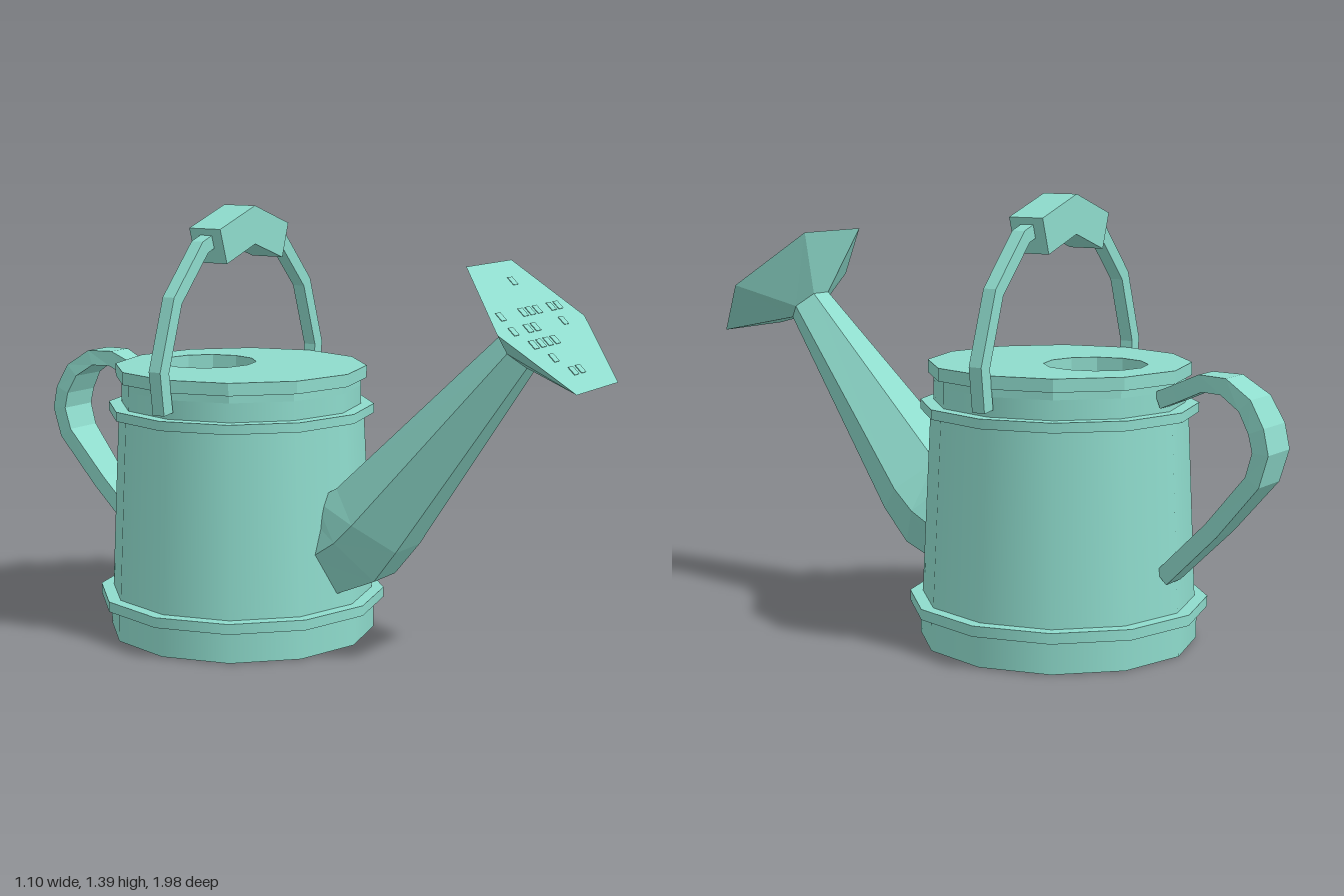
import * as THREE from 'three';

const SIDES = 12;

// Skin over rings of points (counter-clockwise about the travel direction), closed at both ends.
function loft(rings) {
  const n = rings[0].length, pos = [];
  const tri = (a, b, c) => pos.push(...a, ...b, ...c);
  for (let i = 0; i < rings.length - 1; i++) {
    const a = rings[i], b = rings[i + 1];
    for (let j = 0; j < n; j++) {
      const k = (j + 1) % n;
      tri(a[j], a[k], b[k]);
      tri(a[j], b[k], b[j]);
    }
  }
  const first = rings[0], last = rings[rings.length - 1];
  for (let j = 1; j < n - 1; j++) {
    tri(first[0], first[j + 1], first[j]);
    tri(last[0], last[j], last[j + 1]);
  }
  const g = new THREE.BufferGeometry();
  g.setAttribute('position', new THREE.Float32BufferAttribute(pos, 3));
  g.computeVertexNormals();
  return g;
}

// Rectangular strap along a path of [x, y, halfWidth] in the XY plane.
function strap(path, thickness) {
  const h = thickness / 2;
  return loft(path.map(([x, y, w], i) => {
    const a = path[Math.max(i - 1, 0)], b = path[Math.min(i + 1, path.length - 1)];
    const len = Math.hypot(b[0] - a[0], b[1] - a[1]);
    const nx = -(b[1] - a[1]) / len * h, ny = (b[0] - a[0]) / len * h;
    return [[x + nx, y + ny, w], [x - nx, y - ny, w], [x - nx, y - ny, -w], [x + nx, y + ny, -w]];
  }));
}

// Six-sided ring, mirrored in x; each corner pair is [z, y, halfWidth].
function hexRing([side, top, bottom]) {
  const p = ([z, y, w], s) => [s * w, y, z];
  return [p(side, 1), p(top, 1), p(top, -1), p(side, -1), p(bottom, -1), p(bottom, 1)];
}

function polygon(Target, radius, cy = 0) {
  const pts = [];
  for (let i = 0; i < SIDES; i++) {
    const a = i / SIDES * Math.PI * 2;
    pts.push(new THREE.Vector2(Math.cos(a) * radius, cy + Math.sin(a) * radius));
  }
  return new Target(pts);
}

export function createModel() {
  const model = new THREE.Group();
  const can = new THREE.Group();
  can.name = 'wateringCan';
  can.position.set(-0.09, 0, -0.24);
  can.rotation.y = THREE.MathUtils.degToRad(20);
  model.add(can);

  const paint = new THREE.MeshStandardMaterial({ color: 0x8edbcc });
  paint.name = 'mint enamel';

  const add = (name, geometry, parent = can) => {
    const m = new THREE.Mesh(geometry, paint);
    m.name = name;
    parent.add(m);
    return m;
  };

  // Round body, hoops and neck: [name, bottom y, top y, bottom radius, top radius]
  for (const [name, y0, y1, r0, r1] of [
    ['base', 0, 0.105, 0.437, 0.437],
    ['lowerHoop', 0.102, 0.135, 0.47, 0.47],
    ['body', 0.13, 0.725, 0.43, 0.402],
    ['upperHoop', 0.72, 0.75, 0.434, 0.434],
    ['neck', 0.75, 0.81, 0.392, 0.392],
  ]) {
    add(name, new THREE.CylinderGeometry(r1, r0, y1 - y0, SIDES)).position.y = (y0 + y1) / 2;
  }

  // Lid layers with the filling hole toward the back
  for (const [name, y0, y1, r] of [['lidCollar', 0.81, 0.835, 0.392], ['lid', 0.835, 0.875, 0.41]]) {
    const shape = polygon(THREE.Shape, r);
    shape.holes.push(polygon(THREE.Path, 0.16, 0.133));
    const g = new THREE.ExtrudeGeometry(shape, { depth: y1 - y0, bevelEnabled: false });
    g.rotateX(-Math.PI / 2);
    add(name, g).position.y = y0;
  }

  // Spout, widening past the body and tapering to the rose
  const neckRing = [[1.003, 0.993, 0.075], [0.955, 1.035, 0.0375], [1.05, 0.95, 0.0375]];
  add('spout', loft([
    [[0.36, 0.305, 0.14], [0.3, 0.43, 0.07], [0.4, 0.175, 0.06]],
    [[0.46, 0.37, 0.157], [0.34, 0.48, 0.08], [0.55, 0.24, 0.065]],
    [[0.526, 0.435, 0.16], [0.42, 0.525, 0.08], [0.633, 0.345, 0.075]],
    neckRing,
  ].map(hexRing)));

  // Sprinkler rose
  add('rose', loft([
    neckRing,
    [[1.08, 1.075, 0.287], [0.901, 1.247, 0.143], [1.259, 0.903, 0.143]],
  ].map(hexRing)));

  // Scattered square holes on the rose face, by row and column
  const holes = new THREE.Group();
  holes.name = 'roseHoles';
  holes.position.set(-0.003, 1.075, 1.08);
  holes.rotation.x = -Math.atan2(0.722, 0.692);
  can.add(holes);
  const rows = { 3: [1], 1: [-4, -1, 0, 1, 3, 4], 0: [-4, -2, -1, 3], '-1': [-3, -2, -1, 0], '-2': [-2], '-3': [-1, 0] };
  for (const [row, cols] of Object.entries(rows)) {
    for (const col of cols) {
      add('roseHole', new THREE.BoxGeometry(0.03, 0.03, 0.004), holes)
        .position.set(col * 0.0465, row * 0.057, 0);
    }
  }

  // Carrying bail arching over the lid
  const half = [[0.415, 0.77], [0.432, 0.9], [0.36, 1.115], [0.215, 1.27], [0.13, 1.3]];
  const bail = [
    ...half.map(([x, y]) => [-x, y, 0.022]),
    ...half.slice().reverse().map(([x, y]) => [x, y, 0.022]),
  ];
  add('bailHandle', strap(bail, 0.045));

  // Bent grip on the bail
  const grip = new THREE.Shape([
    [0, 1.39], [-0.19, 1.325], [-0.155, 1.215], [0, 1.268], [0.155, 1.215], [0.19, 1.325],
  ].map(([x, y]) => new THREE.Vector2(x, y)));
  const gripGeometry = new THREE.ExtrudeGeometry(grip, { depth: 0.12, bevelEnabled: false });
  gripGeometry.translate(0, 0, -0.06);
  add('bailGrip', gripGeometry);

  // Looped back handle, widest at its outer bend
  const back = add('backHandle', strap([
    [0.38, 0.79, 0.03], [0.44, 0.815, 0.035], [0.53, 0.855, 0.045], [0.61, 0.853, 0.055],
    [0.685, 0.805, 0.065], [0.725, 0.735, 0.07], [0.74, 0.67, 0.07], [0.715, 0.585, 0.068],
    [0.58, 0.425, 0.055], [0.41, 0.255, 0.045],
  ], 0.052));
  back.rotation.y = Math.PI / 2;
  back.position.x = 0.025;

  return model;
}
